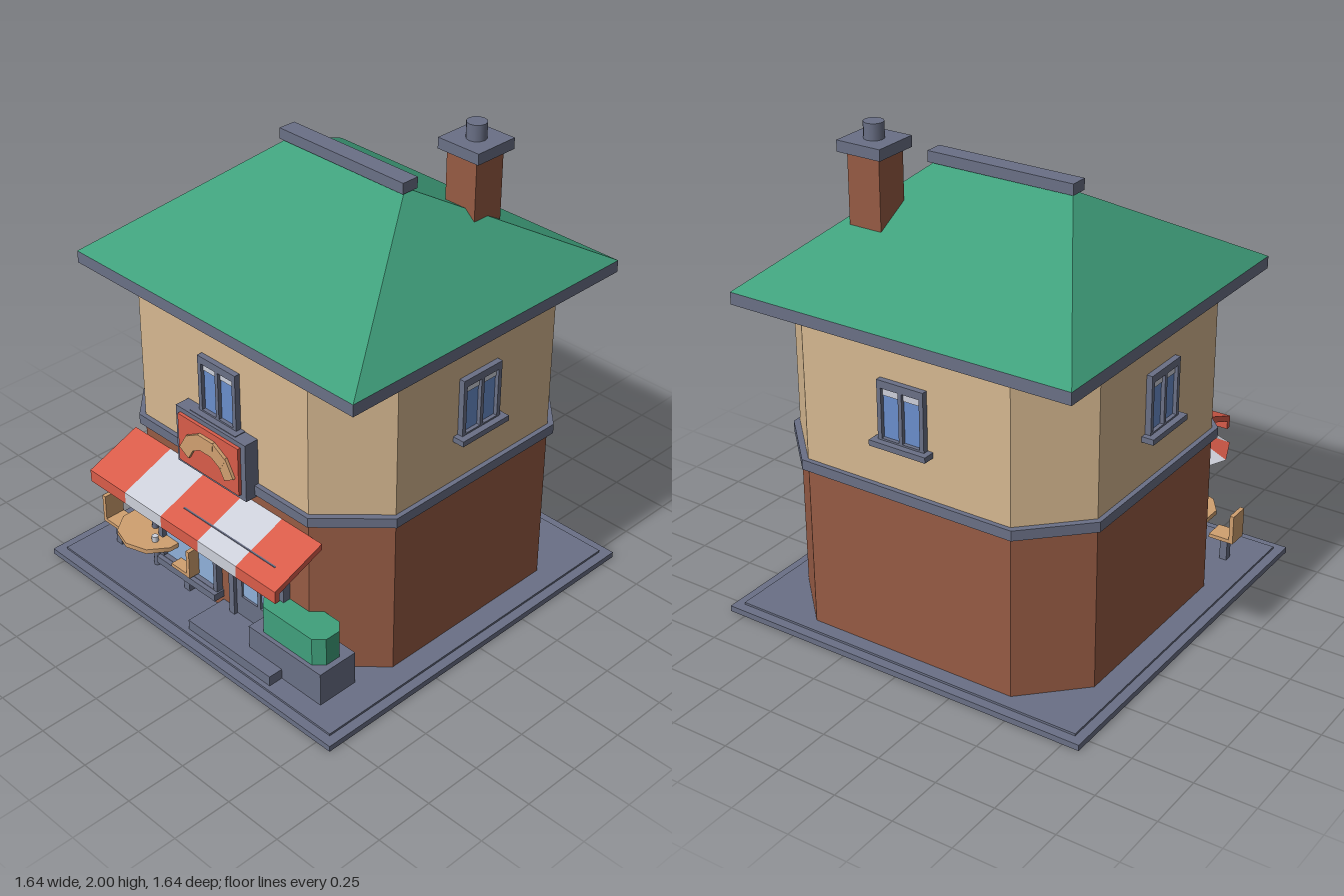
import * as THREE from 'three';

const mat = (name, color, side = THREE.FrontSide) => {
  const m = new THREE.MeshStandardMaterial({ color, side });
  m.name = name;
  return m;
};

export function createModel() {
  const stone = mat('stone grey', 0x6a7086);
  const brick = mat('brick brown', 0x965b44);
  const plaster = mat('plaster tan', 0xd6b890);
  const green = mat('roof green', 0x40a07c);
  const red = mat('awning red', 0xd95c4a, THREE.DoubleSide);
  const white = mat('awning white', 0xcdd0da, THREE.DoubleSide);
  const wood = mat('wood', 0xd0a070);
  const glass = mat('window blue', 0x6a8ecc);
  const shopGlass = mat('shop glass', 0x8fb0da);

  const model = new THREE.Group();
  const add = (name, geo, material, parent = model) => {
    const mesh = new THREE.Mesh(geo, material);
    mesh.name = name;
    parent.add(mesh);
    return mesh;
  };
  const group = (name, x = 0, y = 0, z = 0) => {
    const g = new THREE.Group();
    g.name = name;
    g.position.set(x, y, z);
    model.add(g);
    return g;
  };
  // Box given by its limits on each axis
  const box = (name, m, x0, x1, y0, y1, z0, z1, parent) => {
    const mesh = add(name, new THREE.BoxGeometry(x1 - x0, y1 - y0, z1 - z0), m, parent);
    mesh.position.set((x0 + x1) / 2, (y0 + y1) / 2, (z0 + z1) / 2);
    return mesh;
  };
  const cylinder = (name, m, r, y0, y1, x, z, sides, parent) => {
    const mesh = add(name, new THREE.CylinderGeometry(r, r, y1 - y0, sides), m, parent);
    mesh.position.set(x, (y0 + y1) / 2, z);
    return mesh;
  };
  const shapeOf = (pts) => new THREE.Shape(pts.map(([x, y]) => new THREE.Vector2(x, y)));
  const extrude = (shape, depth) => new THREE.ExtrudeGeometry(shape, { depth, bevelEnabled: false });
  // Upright prism over a rectangle with cut corners
  const prism = (name, m, hx, hz, cut, y0, y1, cx, cz) => {
    const s = shapeOf([[hx, -hz + cut], [hx, hz - cut], [hx - cut, hz], [-hx + cut, hz],
      [-hx, hz - cut], [-hx, -hz + cut], [-hx + cut, -hz], [hx - cut, -hz]]);
    const mesh = add(name, extrude(s, y1 - y0).rotateX(-Math.PI / 2), m);
    mesh.position.set(cx, y0, cz);
  };
  // Side profile in (z, y), swept along x
  const sweep = (name, m, pts, x0, x1, parent) => {
    const mesh = add(name, extrude(shapeOf(pts), x1 - x0).rotateY(-Math.PI / 2), m, parent);
    mesh.position.x = x1;
  };
  // Flat frame with rectangular openings [x0, x1, y0, y1]
  const frame = (name, [x0, x1, y0, y1], holes, z0, z1, parent) => {
    const s = shapeOf([[x0, y0], [x1, y0], [x1, y1], [x0, y1]]);
    for (const [a, b, c, d] of holes) {
      s.holes.push(new THREE.Path([[a, c], [a, d], [b, d], [b, c]].map((p) => new THREE.Vector2(...p))));
    }
    add(name, extrude(s, z1 - z0), stone, parent).position.z = z0;
  };

  // Ground slab
  const CZ = -0.0725;
  box('groundSlab', stone, -0.82, 0.82, 0, 0.025, -0.82, 0.82);
  box('pavement', stone, -0.78, 0.78, 0.025, 0.034, -0.78, 0.78);

  // Walls and band
  prism('lowerWall', brick, 0.685, 0.6475, 0.225, 0.03, 0.72, 0, CZ);
  prism('upperWall', plaster, 0.685, 0.6475, 0.225, 0.75, 1.35, 0, CZ);
  prism('wallBand', stone, 0.705, 0.6675, 0.23, 0.715, 0.757, 0, CZ);

  // Hipped roof
  box('eaves', stone, -0.745, 0.745, 1.345, 1.395, CZ - 0.7075, CZ + 0.7075);
  const roof = new THREE.BoxGeometry(1.49, 0.395, 1.415);
  const rp = roof.attributes.position;
  for (let i = 0; i < rp.count; i++) {
    if (rp.getY(i) > 0) {
      rp.setX(i, Math.sign(rp.getX(i)) * 0.3);
      rp.setZ(i, Math.sign(rp.getZ(i)) * 0.004);
    }
  }
  roof.computeVertexNormals();
  add('roof', roof, green).position.set(0, 1.5925, CZ);
  box('ridgeCap', stone, -0.323, 0.323, 1.787, 1.832, CZ - 0.038, CZ + 0.038);

  // Chimney
  box('chimneyStack', brick, 0.32, 0.465, 1.5, 1.89, -0.41, -0.265);
  box('chimneyCap', stone, 0.295, 0.492, 1.89, 1.935, -0.437, -0.242);
  cylinder('chimneyPot', stone, 0.04, 1.935, 2, 0.393, -0.34, 12);

  // Upper windows, one on each side
  const sides = [[0, 0.575, 0], [0.685, CZ, 1], [0, -0.72, 2], [-0.685, CZ, 3]];
  for (const [x, z, turn] of sides) {
    const w = group('upperWindow', x, 0, z);
    w.rotation.y = turn * Math.PI / 2;
    const panes = [[-0.085, -0.008, 0.965, 1.167], [0.008, 0.085, 0.965, 1.167]];
    frame('windowFrame', [-0.103, 0.103, 0.945, 1.198], panes, 0, 0.024, w);
    box('windowSill', stone, -0.126, 0.126, 0.935, 0.958, 0, 0.05, w);
    for (const [a, b, c, d] of panes) {
      box('windowPane', glass, a, b, c, d, 0, 0.008, w);
      box('curtain', white, a, b, 1.135, d, 0.008, 0.012, w);
    }
  }

  // Sign with a curved pastry emblem
  box('signBoard', stone, -0.193, 0.193, 0.703, 0.955, 0.575, 0.638);
  box('signPanel', red, -0.168, 0.168, 0.725, 0.935, 0.638, 0.652);
  for (let i = -2; i <= 2; i++) {
    const a = i * 0.52;
    const h = 0.066 - Math.abs(i) * 0.004;
    const piece = box('pastryPiece', wood, -0.042, 0.042, -h / 2, h / 2, 0, 0.016);
    piece.position.set(Math.sin(a) * 0.122, 0.762 + Math.cos(a) * 0.11, 0.658 - Math.abs(i) * 0.001);
    piece.rotation.z = -a;
  }

  // Striped main awning
  const awning = group('awning');
  const slope = [[0.575, 0.66], [0.81, 0.568], [0.81, 0.515], [0.788, 0.515], [0.788, 0.55], [0.575, 0.634]];
  for (let i = 0; i < 5; i++) {
    const x = -0.53 + i * 0.212;
    sweep('awningStripe', i % 2 ? white : red, slope, x, x + 0.212, awning);
  }
  box('doorCanopy', stone, -0.055, 0.453, 0.57, 0.599, 0.575, 0.738);
  sweep('windowAwning', red, [[0.575, 0.575], [0.76, 0.512], [0.755, 0.492], [0.575, 0.552]], -0.387, -0.03);

  // Shop window
  const shop = [-0.36, -0.055, 0.128, 0.485];
  const shopWindow = group('shopWindow', 0, 0, 0.575);
  frame('shopFrame', [-0.385, -0.035, 0.1, 0.508], [shop], 0, 0.03, shopWindow);
  box('shopPane', shopGlass, ...shop, 0, 0.009, shopWindow);
  box('shopSill', stone, -0.38, -0.028, 0.094, 0.126, 0, 0.05, shopWindow);

  // Double door
  const door = group('door', 0, 0, 0.575);
  const doorPanes = [[0.1, 0.189, 0.175, 0.472], [0.207, 0.3, 0.175, 0.472]];
  frame('doorLeaves', [0.07, 0.325, 0.08, 0.5], doorPanes, 0, 0.018, door);
  frame('doorFrame', [0.042, 0.355, 0.03, 0.515], [[0.07, 0.325, 0.06, 0.49]], 0, 0.034, door);
  for (const p of doorPanes) box('doorPane', shopGlass, ...p, 0, 0.009, door);
  box('doorStep', stone, -0.03, 0.435, 0.03, 0.078, 0.57, 0.76);

  // Planter with hedge
  box('planter', stone, 0.253, 0.645, 0.03, 0.18, 0.515, 0.697);
  prism('hedge', green, 0.17, 0.0725, 0.038, 0.18, 0.303, 0.45, 0.607);

  // Table with parasol
  const TX = -0.435, TZ = 0.58;
  const table = group('tableAndParasol', TX, 0, TZ);
  cylinder('parasolPole', stone, 0.014, 0.03, 0.575, 0, 0, 8, table);
  cylinder('tableTop', wood, 0.155, 0.2, 0.22, 0, 0, 10, table);
  cylinder('cup', white, 0.014, 0.22, 0.245, 0.07, 0.06, 8, table);
  for (let i = 0; i < 8; i++) {
    const wedge = new THREE.ConeGeometry(0.203, 0.09, 1, 1, true, i * Math.PI / 4, Math.PI / 4).toNonIndexed();
    wedge.computeVertexNormals();
    add('parasolPanel', wedge, i % 2 ? white : red, table).position.y = 0.54;
  }

  // Chairs on both sides of the table
  for (const side of [-1, 1]) {
    const chair = group('chair', TX + side * 0.215, 0, 0.59);
    box('chairSeat', wood, -0.055, 0.055, 0.137, 0.153, -0.045, 0.045, chair);
    const bx = side * 0.046;
    box('chairBack', wood, bx - 0.009, bx + 0.009, 0.14, 0.265, -0.045, 0.045, chair);
    box('chairLeg', stone, -0.016, 0.016, 0.03, 0.137, -0.016, 0.016, chair);
  }

  return model;
}
